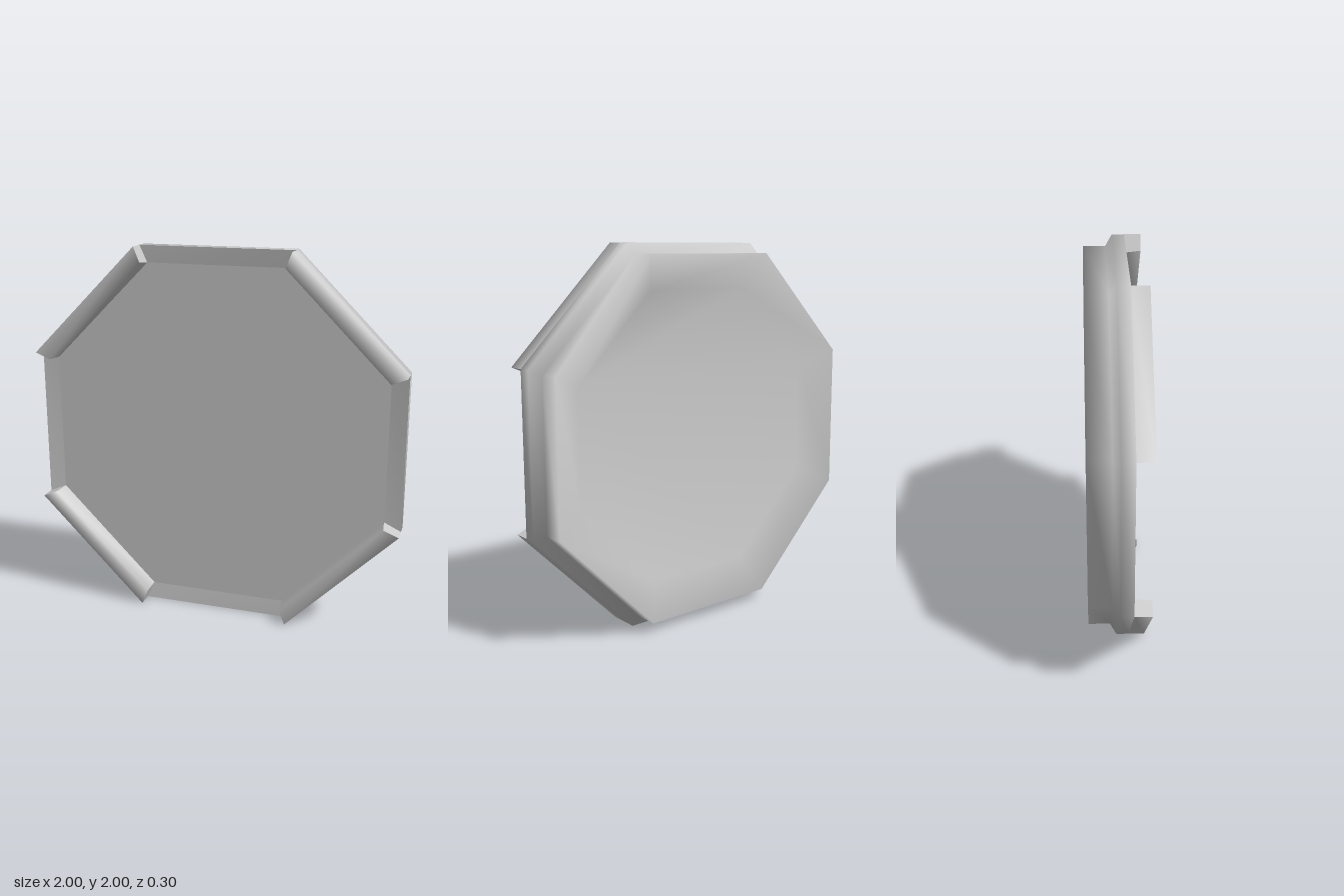
import * as THREE from 'three';

const SIDES = 8;
const STEP = (Math.PI * 2) / SIDES;

// Octagon corner k at a given distance from centre to flat side
function corner(apothem, z, k) {
  const r = apothem / Math.cos(STEP / 2);
  const t = STEP * (k + 0.5);
  return [r * Math.cos(t), r * Math.sin(t), z];
}

function geometryFrom(points, index) {
  const g = new THREE.BufferGeometry();
  g.setAttribute('position', new THREE.Float32BufferAttribute(points.flat(), 3));
  g.setIndex(index);
  g.computeVertexNormals();
  return g;
}

// Sweep a profile of [apothem, z] around the octagon, over sides k0 .. k0 + count.
// With capped, the first ring is filled facing the back.
function sweep(profile, k0, count, capped = false) {
  const cols = count === SIDES ? SIDES : count + 1;
  const points = [];
  const index = [];
  for (const [a, z] of profile) {
    for (let k = 0; k < cols; k++) points.push(corner(a, z, k0 + k));
  }
  for (let j = 0; j < profile.length - 1; j++) {
    for (let k = 0; k < count; k++) {
      const a = j * cols + k, b = j * cols + ((k + 1) % cols);
      const c = b + cols, d = a + cols;
      index.push(a, b, c, a, c, d);
    }
  }
  if (capped) {
    for (let k = 1; k < cols - 1; k++) index.push(0, k + 1, k);
  }
  return geometryFrom(points, index);
}

export function createModel() {
  const model = new THREE.Group();
  model.name = 'octagonalPlate';
  const material = new THREE.MeshStandardMaterial({ color: 0xcccccc });
  const add = (parent, name, geometry) => {
    const mesh = new THREE.Mesh(geometry, material);
    mesh.name = name;
    parent.add(mesh);
  };

  const plate = new THREE.Group();
  plate.name = 'plate';
  plate.position.y = 1;
  model.add(plate);

  const rimZ = 0.065, panelZ = 0.055, lipZ = 0.152, backZ = -0.152, inner = 0.91;

  // Body: recessed back with sloping walls, side wall and flared rim
  add(plate, 'body', sweep([
    [0.76, -0.05], [0.945, backZ], [0.945, -0.035], [1, 0], [1, rimZ],
  ], 0, SIDES, true));

  // Front border and flat front panel
  add(plate, 'frontBorder', sweep([[1, rimZ], [inner, panelZ]], 0, SIDES));
  const panel = new THREE.CircleGeometry(inner / Math.cos(STEP / 2), SIDES, STEP / 2);
  panel.translate(0, 0, panelZ);
  add(plate, 'frontPanel', panel);

  // Raised mitred lips on the four diagonal sides
  const lipProfile = [[1, rimZ], [1, lipZ], [0.92, lipZ], [inner, panelZ]];
  for (let k = 0; k < SIDES; k += 2) {
    const lip = new THREE.Group();
    lip.name = 'diagonalLip';
    plate.add(lip);
    add(lip, 'lipSurface', sweep(lipProfile, k, 1));
    const start = lipProfile.map(([a, z]) => corner(a, z, k));
    const end = lipProfile.map(([a, z]) => corner(a, z, k + 1));
    add(lip, 'lipEnds', geometryFrom([...start, ...end],
      [0, 1, 2, 0, 2, 3, 4, 6, 5, 4, 7, 6]));
  }

  return model;
}
